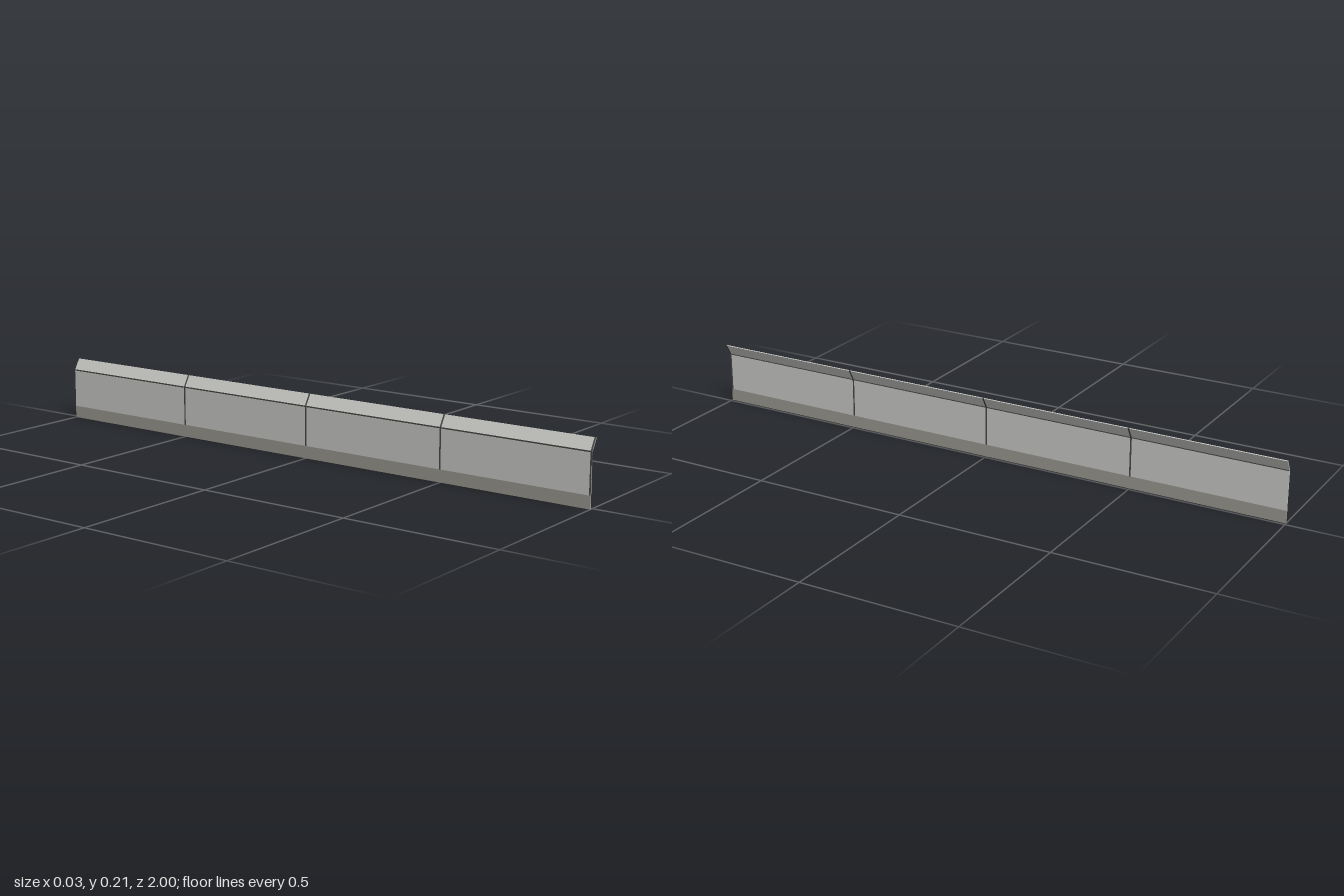
import * as THREE from 'three';

const panelMat = new THREE.MeshStandardMaterial({ name: 'pale grey panel', color: 0xc8c8c5 });
const plinthMat = new THREE.MeshStandardMaterial({ name: 'warm grey plinth', color: 0x99978f });
const trimMat = new THREE.MeshStandardMaterial({ name: 'dark grey trim', color: 0x474745 });

// Bar of given thickness along a line in the xy plane, running along z
function bar(name, mat, [x0, y0], [x1, y1], thick, zMin, zMax) {
  const dx = x1 - x0, dy = y1 - y0;
  const geo = new THREE.BoxGeometry(thick, Math.hypot(dx, dy), zMax - zMin);
  const mesh = new THREE.Mesh(geo, mat);
  mesh.name = name;
  mesh.position.set((x0 + x1) / 2, (y0 + y1) / 2, (zMin + zMax) / 2);
  mesh.rotation.z = -Math.atan2(dx, dy);
  return mesh;
}

export function createModel() {
  const group = new THREE.Group();
  group.name = 'barrier';
  const foot = [-0.0103, 0.04], bend = [-0.0103, 0.167], tip = [0.0103, 0.203];

  // Continuous plinth, upright panel and slanted top
  group.add(bar('plinth', plinthMat, [-0.0105, 0], [-0.0105, 0.04], 0.0042, -1, 1));
  group.add(bar('panel', panelMat, foot, bend, 0.003, -1, 1));
  group.add(bar('slantedTop', panelMat, bend, tip, 0.003, -1, 1));

  // Dark seam along the bend
  group.add(bar('bendSeam', trimMat, [-0.0103, 0.1645], [-0.0103, 0.1685], 0.0042, -1, 1));

  // Bent ribs at the joints and at the front end
  for (let i = 0; i < 4; i++) {
    const z = 0.9975 - i * 0.499;
    const rib = new THREE.Group();
    rib.name = 'rib';
    rib.add(bar('ribUpright', trimMat, foot, bend, 0.0042, z - 0.0025, z + 0.0025));
    rib.add(bar('ribTop', trimMat, bend, [0.0108, 0.2039], 0.0046, z - 0.0025, z + 0.0025));
    group.add(rib);
  }
  return group;
}
